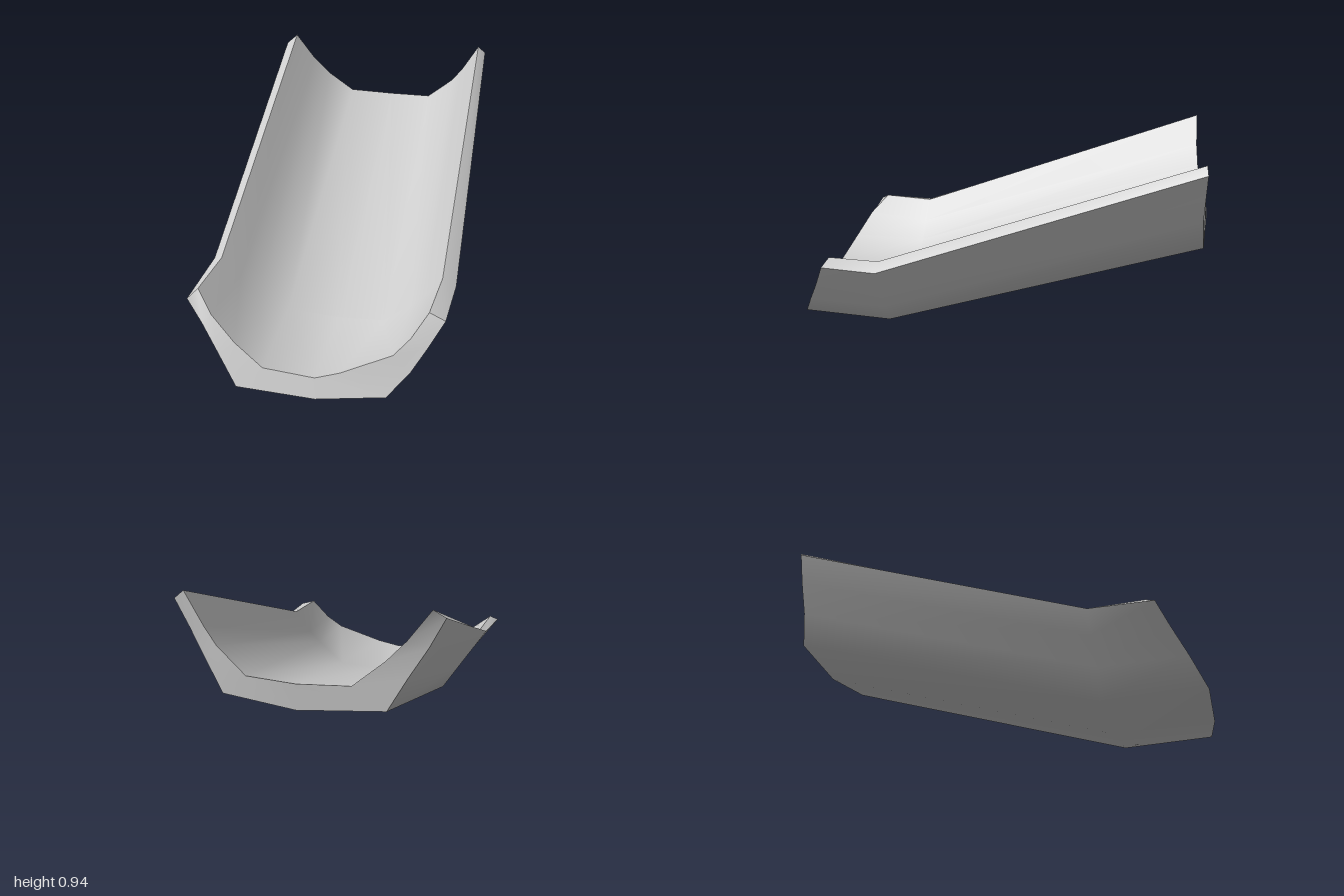
import * as THREE from 'three';

// Cross-sections [x, y, z] from right-hand rim (-x) to left-hand rim (+x)
const innerSections = [
  // front lip
  [[-.56, .38, .775], [-.48, .3, .85], [-.36, .2, .905], [-.22, .113, .95], [.02, .095, .95], [.13, .125, .93], [.36, .22, .875], [.43, .29, .83], [.5, .4, .77]],
  // bend
  [[-.53, .375, .52], [-.44, .28, .52], [-.35, .2, .52], [-.21, .115, .52], [.04, .1, .52], [.26, .115, .52], [.39, .23, .52], [.45, .29, .52], [.53, .405, .52]],
  // raised back end
  [[-.505, .925, -.955], [-.405, .79, -.957], [-.32, .7, -.965], [-.185, .59, -.99], [.05, .582, -1], [.27, .592, -.985], [.4, .71, -.97], [.455, .785, -.96], [.54, .935, -.955]],
];
const outerSections = [
  [[-.6, .35, .82], [-.52, .26, .87], [-.43, .15, .935], [-.335, .025, 1], [.03, .01, .995], [.345, .045, .96], [.44, .15, .9], [.51, .26, .84], [.575, .375, .785]],
  [[-.565, .37, .52], [-.5, .27, .52], [-.42, .15, .52], [-.335, .02, .52], [.05, 0, .52], [.38, .04, .52], [.47, .15, .52], [.53, .26, .52], [.595, .37, .52]],
  [[-.555, .885, -.925], [-.49, .76, -.94], [-.41, .63, -.955], [-.33, .49, -.985], [.05, .465, -1], [.38, .5, -.975], [.46, .65, -.96], [.52, .78, -.96], [.58, .9, -.96]],
];

// Smooth sheet through rows of points
function sheet(name, rows, material) {
  const n = rows[0].length;
  const index = [];
  for (let r = 0; r < rows.length - 1; r++) {
    for (let i = 0; i < n - 1; i++) {
      const a = r * n + i;
      index.push(a, a + 1, a + n, a + 1, a + n + 1, a + n);
    }
  }
  const geometry = new THREE.BufferGeometry();
  geometry.setAttribute('position', new THREE.Float32BufferAttribute(rows.flat(2), 3));
  geometry.setIndex(index);
  geometry.computeVertexNormals();
  const mesh = new THREE.Mesh(geometry, material);
  mesh.name = name;
  return mesh;
}

export function createModel() {
  const group = new THREE.Group();
  group.name = 'bentTrough';
  const material = new THREE.MeshStandardMaterial({ color: 0xcccccc });
  const last = innerSections[0].length - 1;

  // Channel surfaces
  group.add(sheet('innerChannel', innerSections, material));
  group.add(sheet('outerShell', outerSections.map((s) => [...s].reverse()), material));

  // Rims along both sides
  group.add(sheet('leftRim', innerSections.map((s, i) => [s[last], outerSections[i][last]]), material));
  group.add(sheet('rightRim', innerSections.map((s, i) => [outerSections[i][0], s[0]]), material));

  // End faces across the wall thickness
  group.add(sheet('frontEnd', [outerSections[0], innerSections[0]], material));
  group.add(sheet('backEnd', [innerSections[2], outerSections[2]], material));
  return group;
}
